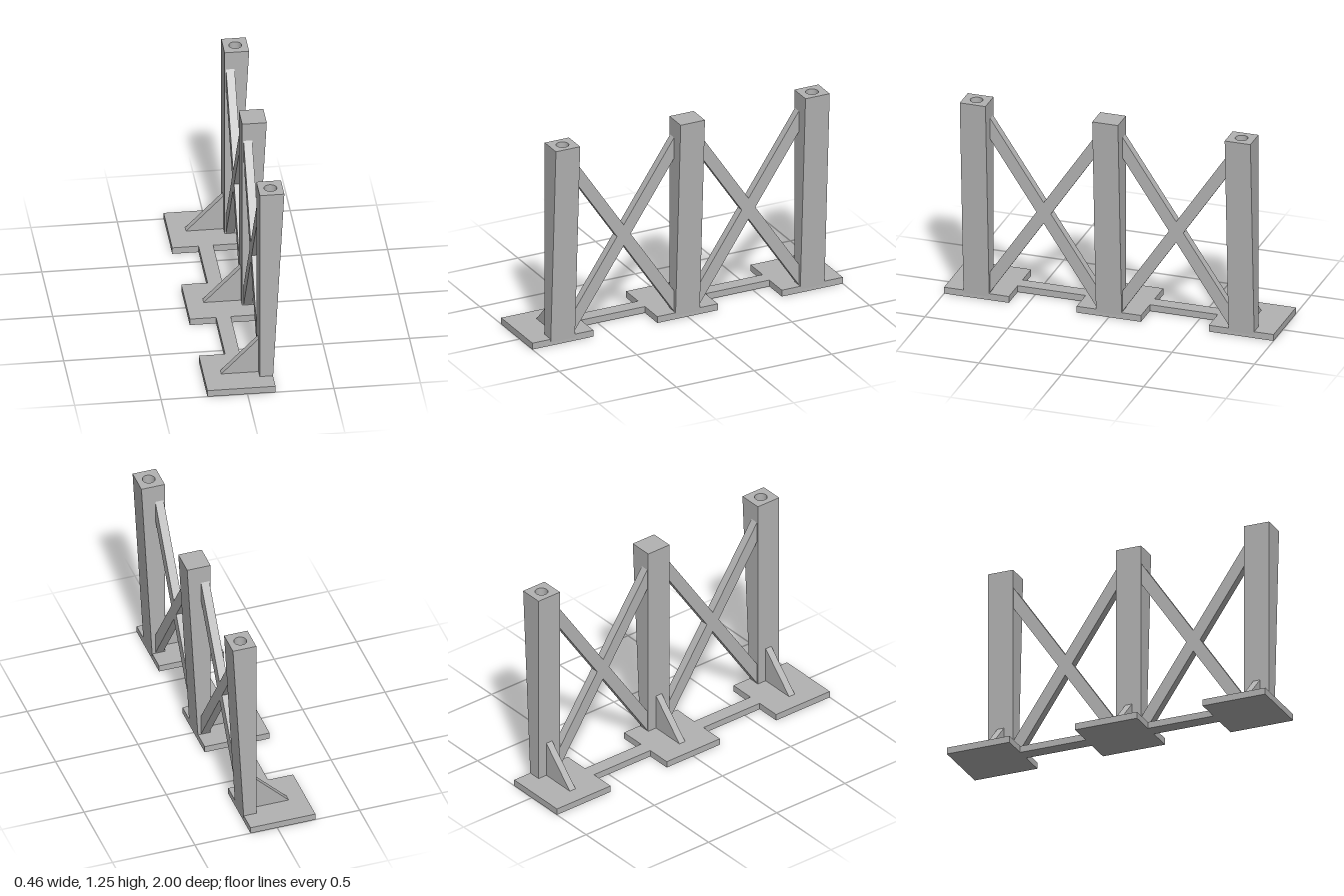
import * as THREE from 'three';

const grey = new THREE.MeshStandardMaterial({ color: 0xb2b2b2 });
grey.name = 'grey';

const BASE = 0.04, TOP = 1.25, HOLE_DEPTH = 0.1;
const POST_HALF = 0.078, POST_X = 0.086, SPACING = 0.804;
// outer face of the posts leans outwards with height
const outerX = (y) => 0.161 + (0.067 * y) / TOP;

function extrude(points, depth, holes = []) {
  const shape = new THREE.Shape(points.map(([x, y]) => new THREE.Vector2(x, y)));
  shape.holes.push(...holes);
  return new THREE.ExtrudeGeometry(shape, { depth, bevelEnabled: false, curveSegments: 32 });
}

function add(parent, name, geometry) {
  const mesh = new THREE.Mesh(geometry, grey);
  mesh.name = name;
  parent.add(mesh);
}

// Tapered shaft from y = 0 up to the given height
function shaft(height) {
  return extrude([[POST_X, 0.002], [outerX(0), 0.002], [outerX(height), height], [POST_X, height]], POST_HALF * 2)
    .translate(0, 0, -POST_HALF);
}

// Top of a post with a round socket, its outer face following the same lean
function socketTop() {
  const hole = new THREE.Path().absarc(0.157, 0, 0.037, 0, Math.PI * 2, true);
  const geo = extrude(
    [[POST_X, -POST_HALF], [0.228, -POST_HALF], [0.228, POST_HALF], [POST_X, POST_HALF]], HOLE_DEPTH, [hole]
  ).rotateX(-Math.PI / 2).translate(0, TOP - HOLE_DEPTH, 0);
  const p = geo.attributes.position;
  for (let i = 0; i < p.count; i++) if (p.getX(i) > 0.21) p.setX(i, outerX(p.getY(i)));
  geo.computeVertexNormals();
  return geo;
}

// Crossed braces as one X outline in the z-y plane
function crossBrace() {
  const z0 = POST_HALF, z1 = SPACING - POST_HALF, zm = (z0 + z1) / 2;
  const low = 0.042, high = 1.138, ym = (low + high) / 2, t = 0.13;
  const w = (t / 2) * (z1 - z0) / (high - t - low);
  return extrude([
    [z0, low], [zm, ym - t / 2], [z1, low], [z1, low + t], [zm + w, ym], [z1, high - t],
    [z1, high], [zm, ym + t / 2], [z0, high], [z0, high - t], [zm - w, ym], [z0, low + t],
  ], 0.05).rotateY(-Math.PI / 2).translate(0.144, 0, 0);
}

export function createModel() {
  const model = new THREE.Group();
  model.name = 'postFrame';

  // Base: three plates joined by narrow strips, as one outline
  const L = -0.232, R = 0.162, sl = -0.08, sr = 0.005, a = 0.195, b = 0.607;
  const right = [[R, -1], [R, -b], [sr, -b], [sr, -a], [R, -a], [R, a], [sr, a], [sr, b], [R, b], [R, 1]];
  const left = [[L, 1], [L, b], [sl, b], [sl, a], [L, a], [L, -a], [sl, -a], [sl, -b], [L, -b], [L, -1]];
  add(model, 'basePlates', extrude([...right, ...left], BASE).rotateX(-Math.PI / 2));

  // Posts with gussets; the end posts have sockets
  for (const i of [-1, 0, 1]) {
    const post = new THREE.Group();
    post.name = ['backPost', 'middlePost', 'frontPost'][i + 1];
    post.position.z = i * SPACING;
    add(post, 'shaft', shaft(i ? TOP - HOLE_DEPTH : TOP));
    if (i) add(post, 'socketTop', socketTop());
    add(post, 'gusset', extrude([[-0.13, BASE], [POST_X, BASE], [POST_X, 0.258]], 0.042).translate(0, 0, -0.021));
    model.add(post);
  }

  // Bracing in both bays
  add(model, 'frontCrossBrace', crossBrace());
  add(model, 'backCrossBrace', crossBrace().translate(0, 0, -SPACING));
  return model;
}
